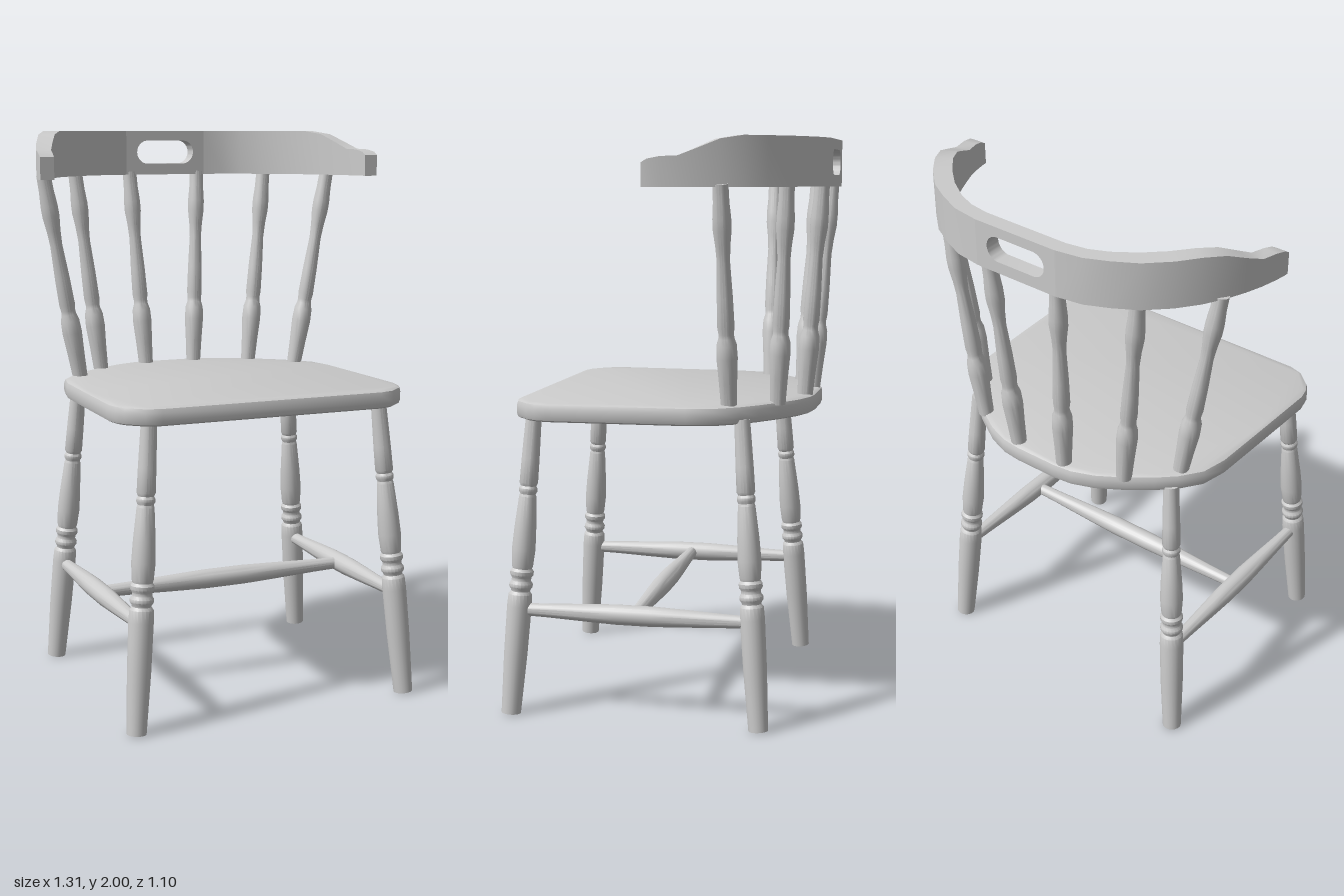
import * as THREE from 'three';
import { toCreasedNormals } from 'three/addons/utils/BufferGeometryUtils.js';

const material = new THREE.MeshStandardMaterial({ color: 0xcccccc });
const UP = new THREE.Vector3(0, 1, 0);

function addMesh(parent, name, geometry, crease = 0.6) {
  const mesh = new THREE.Mesh(toCreasedNormals(geometry, crease), material);
  mesh.name = name;
  parent.add(mesh);
  return mesh;
}

// Turned rod from a to b; profile is a list of [fraction along, radius]
function addTurned(parent, name, a, b, profile) {
  const start = new THREE.Vector3(...a);
  const axis = new THREE.Vector3(...b).sub(start);
  const length = axis.length();
  const points = [
    new THREE.Vector2(0, 0),
    ...profile.map(([t, r]) => new THREE.Vector2(r, t * length)),
    new THREE.Vector2(0, length),
  ];
  const mesh = addMesh(parent, name, new THREE.LatheGeometry(points, 20));
  mesh.position.copy(start);
  mesh.quaternion.setFromUnitVectors(UP, axis.normalize());
}

// Seat: half outline (x, z) mirrored, with chamfered rim
function addSeat(parent) {
  const half = [
    [0.41, 0.505], [0.465, 0.49], [0.52, 0.44], [0.54, 0.405], [0.55, 0.36],
    [0.543, 0.1], [0.536, -0.12], [0.515, -0.215], [0.46, -0.29], [0.4, -0.345],
    [0.32, -0.405], [0.23, -0.46], [0.15, -0.49], [0.08, -0.498],
  ];
  const outline = [...half, ...half.map(([x, z]) => [-x, z]).reverse()];
  const shape = new THREE.Shape(outline.map(([x, z]) => new THREE.Vector2(x, -z)));
  const geometry = new THREE.ExtrudeGeometry(shape, {
    depth: 0.027, bevelThickness: 0.019, bevelSize: 0.016, bevelOffset: -0.016, bevelSegments: 2,
  });
  geometry.rotateX(-Math.PI / 2).translate(0, 1.064, 0);
  addMesh(parent, 'seat', geometry);
}

// Flat middle of the back rail with a rounded hand slot
function addRailCentre(parent) {
  const w = 0.16, bottom = 1.835, top = 2;
  const shape = new THREE.Shape();
  shape.moveTo(-w, bottom).lineTo(w, bottom).lineTo(w, top).lineTo(-w, top).closePath();
  const slot = new THREE.Path();
  const sx = 0.072, r = 0.044, cy = 1.92;
  slot.moveTo(-sx, cy - r);
  slot.absarc(-sx, cy, r, -Math.PI / 2, -Math.PI * 1.5, true);
  slot.absarc(sx, cy, r, Math.PI / 2, -Math.PI / 2, true);
  slot.closePath();
  shape.holes.push(slot);
  const geometry = new THREE.ExtrudeGeometry(shape, { depth: 0.055, bevelEnabled: false, curveSegments: 10 });
  geometry.translate(0, 0, -0.55);
  addMesh(parent, 'railCentre', geometry);
}

// Curved rail arm: box sections [outer x, outer z, inner x, inner z, top y]
function addRailArm(parent, side) {
  const bottom = 1.835;
  const stations = [
    [0.16, -0.55, 0.16, -0.495, 2], [0.255, -0.535, 0.235, -0.483, 2],
    [0.335, -0.5, 0.3, -0.455, 2], [0.415, -0.455, 0.375, -0.405, 2],
    [0.49, -0.385, 0.44, -0.345, 2], [0.545, -0.315, 0.495, -0.28, 2],
    [0.585, -0.245, 0.533, -0.218, 1.988], [0.615, -0.175, 0.562, -0.155, 1.958],
    [0.635, -0.115, 0.583, -0.105, 1.934], [0.648, -0.06, 0.597, -0.055, 1.932],
    [0.655, -0.02, 0.604, -0.02, 1.924], [0.656, 0, 0.606, 0, 1.912],
  ];
  const positions = [], index = [];
  for (const [ox, oz, ix, iz, top] of stations) {
    positions.push(side * ox, bottom, oz, side * ox, top, oz, side * ix, top, iz, side * ix, bottom, iz);
  }
  // Mirrored arm swaps the corner order
  const quad = (a, b, c, d) => index.push(...(side > 0 ? [a, b, c, a, c, d] : [a, c, b, a, d, c]));
  const last = (stations.length - 1) * 4;
  for (let s = 0; s < last; s += 4) {
    for (let k = 0; k < 4; k++) {
      const n = (k + 1) % 4;
      quad(s + k, s + n, s + 4 + n, s + 4 + k);
    }
  }
  quad(3, 2, 1, 0);
  quad(last, last + 1, last + 2, last + 3);
  const geometry = new THREE.BufferGeometry();
  geometry.setAttribute('position', new THREE.Float32BufferAttribute(positions, 3));
  geometry.setIndex(index);
  addMesh(parent, side > 0 ? 'railArmLeft' : 'railArmRight', geometry);
}

export function createModel() {
  const chair = new THREE.Group();
  chair.name = 'chair';
  addSeat(chair);

  const rail = new THREE.Group();
  rail.name = 'backRail';
  chair.add(rail);
  addRailCentre(rail);

  const legProfile = [
    [0, 0.034], [0.2, 0.041], [0.36, 0.043], [0.4, 0.041], [0.41, 0.033],
    [0.415, 0.034], [0.425, 0.041], [0.435, 0.041], [0.445, 0.034],
    [0.455, 0.034], [0.465, 0.041], [0.477, 0.041], [0.486, 0.034],
    [0.495, 0.037], [0.55, 0.041], [0.62, 0.038], [0.725, 0.03], [0.733, 0.027],
    [0.742, 0.032], [0.752, 0.032], [0.76, 0.027], [0.77, 0.032], [0.85, 0.031], [1, 0.027],
  ];
  const spindleProfile = [
    [0, 0.027], [0.12, 0.031], [0.23, 0.036], [0.29, 0.034], [0.32, 0.027],
    [0.34, 0.026], [0.37, 0.029], [0.5, 0.027], [0.66, 0.022],
    [0.73, 0.025], [0.8, 0.031], [0.85, 0.031], [0.92, 0.027], [1, 0.026],
  ];
  const stretcherProfile = [[0, 0.021], [0.12, 0.024], [0.3, 0.031], [0.42, 0.035], [0.58, 0.035], [0.7, 0.031], [0.88, 0.024], [1, 0.021]];

  // Spindle feet and heads, outermost first
  const spindles = [
    [[0.44, 1.1, -0.25], [0.57, 1.845, -0.243]],
    [[0.308, 1.1, -0.395], [0.388, 1.845, -0.432]],
    [[0.1, 1.1, -0.46], [0.14, 1.845, -0.518]],
  ];

  for (const side of [1, -1]) {
    const label = side > 0 ? 'Left' : 'Right';
    addRailArm(rail, side);
    addTurned(chair, 'frontLeg' + label, [side * 0.515, 0.003, 0.512], [side * 0.433, 1.06, 0.438], legProfile);
    addTurned(chair, 'backLeg' + label, [side * 0.515, 0.003, -0.37], [side * 0.433, 1.06, -0.294], legProfile);
    addTurned(chair, 'sideStretcher' + label, [side * 0.486, 0.372, 0.48], [side * 0.486, 0.372, -0.34], stretcherProfile);
    spindles.forEach(([a, b], i) => {
      addTurned(chair, `spindle${label}${i + 1}`, [side * a[0], a[1], a[2]], [side * b[0], b[1], b[2]], spindleProfile);
    });
  }
  addTurned(chair, 'crossStretcher', [-0.486, 0.372, 0.07], [0.486, 0.372, 0.07], stretcherProfile);
  return chair;
}
